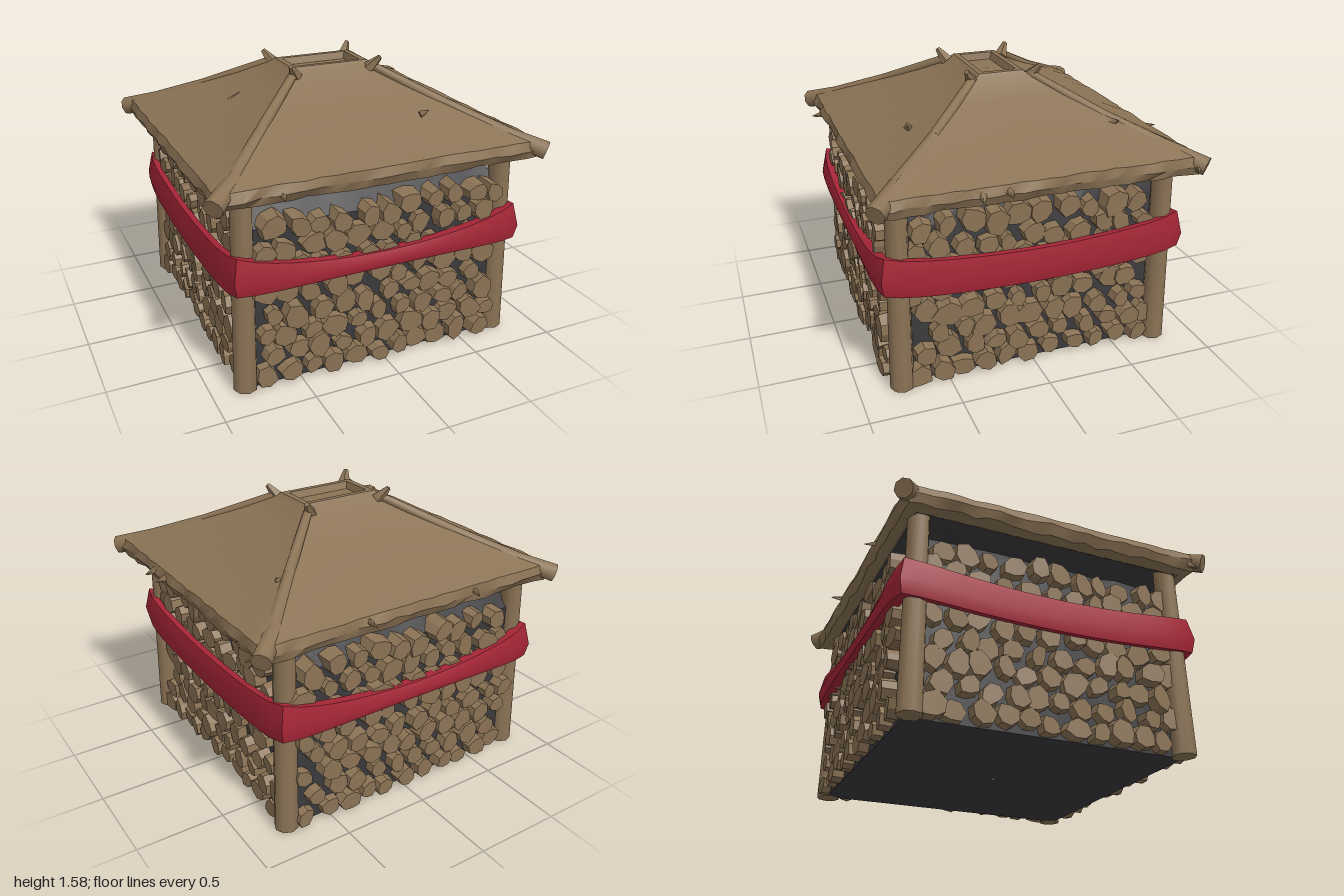
import * as THREE from 'three';
import { mergeGeometries, toCreasedNormals } from 'three/addons/utils/BufferGeometryUtils.js';

const CX = -0.03; // the building sits slightly to one side of its roof

export function createModel() {
  let seed = 7;
  const rnd = (a = 0, b = 1) => {
    seed = (seed * 16807) % 2147483647;
    return a + (b - a) * (seed / 2147483647);
  };
  const mat = (name, color) => {
    const m = new THREE.MeshStandardMaterial({ color });
    m.name = name;
    return m;
  };
  const wood = mat('weathered wood', 0x8b7355);
  const dark = mat('charcoal', 0x3a3a3d);
  const red = mat('ribbon red', 0xa52536);
  const model = new THREE.Group();
  model.name = 'woodStore';
  const add = (name, geo, material, parent = model) => {
    const m = new THREE.Mesh(geo, material);
    m.name = name;
    parent.add(m);
    return m;
  };

  // Rectangular ring of points, counterclockwise from above, each side bowed by a rule
  const ring = (cx, hx, hz, y, { n = 12, sag = 0, rough = 0, round = 0 } = {}) => {
    const pts = [];
    for (let s = 0; s < 4; s++) {
      for (let k = 0; k < n; k++) {
        const t = -1 + (2 * k) / n;
        const drop = (Array.isArray(sag) ? sag[s % 2] : sag) * (1 - t * t);
        const pull = 1 - round * t ** 8 + rnd(-rough, rough);
        const [x, z] = [[t * hx, hz], [hx, -t * hz], [-t * hx, -hz], [-hx, t * hz]][s];
        pts.push([cx + x * pull, y - drop + rnd(-rough, rough) * 0.6, z * pull]);
      }
    }
    return pts;
  };

  // Skin a stack of rings; rows run so that the outside faces outward
  const loft = (rings, crease = 0.5) => {
    const n = rings[0].length, pos = rings.flat(2), index = [];
    for (let i = 0; i < rings.length - 1; i++) {
      for (let j = 0; j < n; j++) {
        const a = i * n + j, b = i * n + ((j + 1) % n);
        index.push(a, b, b + n, a, b + n, a + n);
      }
    }
    const g = new THREE.BufferGeometry();
    g.setAttribute('position', new THREE.Float32BufferAttribute(pos, 3));
    g.setIndex(index);
    return toCreasedNormals(g, crease);
  };

  // Tapered pole between two points
  const pole = (a, b, ra, rb, sides = 8) => {
    const p = new THREE.Vector3(...a), q = new THREE.Vector3(...b);
    const d = q.clone().sub(p);
    const g = new THREE.CylinderGeometry(rb, ra, d.length(), sides);
    g.applyQuaternion(new THREE.Quaternion().setFromUnitVectors(
      new THREE.Vector3(0, 1, 0), d.clone().normalize()));
    return g.translate(...p.add(q).multiplyScalar(0.5).toArray());
  };

  // Dark core of the pile with a mounded top
  add('pileCore', loft([
    ring(CX, 0.01, 0.01, 0), ring(CX, 0.75, 0.78, 0),
    ring(CX, 0.75, 0.78, 0.92, { rough: 0.01 }), ring(CX, 0.69, 0.68, 1.04, { rough: 0.012 }),
    ring(CX, 0.45, 0.45, 1.09, { rough: 0.01 }), ring(CX, 0.01, 0.01, 1.1),
  ]), dark);

  // Irregular log ends stacked on all four walls
  const logEnd = (u, v, r, depth) => {
    const g = new THREE.CylinderGeometry(r * 0.86, r, depth, 7);
    const p = g.attributes.position;
    const ph = rnd(0, 6.28), sx = rnd(0.88, 1.18), sy = rnd(0.88, 1.15), tilt = rnd(-0.15, 0.15);
    for (let i = 0; i < p.count; i++) {
      const x = p.getX(i), z = p.getZ(i), a = Math.atan2(z, x);
      const k = 1 + 0.1 * Math.sin(2 * a + ph) + 0.08 * Math.cos(3 * a + ph * 2);
      p.setXYZ(i, x * k * sx, p.getY(i) + tilt * x, z * k * sy);
    }
    g.rotateX(Math.PI / 2).rotateZ(rnd(-0.5, 0.5)).translate(u, v, 0);
    for (let i = 0; i < p.count; i++) p.setY(i, Math.max(0.003, p.getY(i)));
    return toCreasedNormals(g, 0.3);
  };
  ['front', 'right', 'back', 'left'].forEach((side, s) => {
    const ends = [];
    for (let row = 0; row < 8; row++) {
      for (let col = 0; col < 11; col++) {
        const u = -0.68 + col * 0.132 + (row % 2 ? 0.06 : 0) + rnd(-0.022, 0.022);
        const v = 0.065 + row * 0.122 + rnd(-0.022, 0.022);
        if (Math.abs(u) < 0.7) ends.push(logEnd(u, v, rnd(0.058, 0.079), rnd(0.08, 0.14)));
      }
    }
    const wall = add(side + 'LogEnds', mergeGeometries(ends), wood);
    const angle = (s * Math.PI) / 2, dist = s % 2 ? 0.755 : 0.785;
    wall.rotation.y = angle;
    wall.position.set(CX + Math.sin(angle) * dist, 0, Math.cos(angle) * dist);
  });

  // Corner posts, leaning slightly inward
  for (const sx of [-1, 1]) {
    for (const sz of [-1, 1]) {
      add('cornerPost', toCreasedNormals(pole(
        [CX + sx * 0.78, 0, sz * 0.765], [CX + sx * 0.765, 1.14, sz * 0.755], 0.067, 0.06), 0.9), wood);
    }
  }

  // Ribbon tied round the posts, drooping between them
  const band = { round: 0.035, n: 16 };
  add('ribbon', loft([
    ring(CX, 0.82, 0.82, 0.605, { ...band, sag: [-0.01, 0.045] }),
    ring(CX, 0.865, 0.88, 0.6, { ...band, sag: [-0.01, 0.05] }),
    ring(CX, 0.88, 0.895, 0.68, { ...band, sag: [0.03, 0.06] }),
    ring(CX, 0.855, 0.87, 0.81, { ...band, sag: [0.11, 0.07] }),
    ring(CX, 0.82, 0.82, 0.8, { ...band, sag: [0.1, 0.06] }),
  ], 0.9), red);

  // Hipped roof shell: ragged eave, four gently dished slopes and a sunken cap
  const RX = -0.02, rag = { n: 24, rough: 0.012 };
  const eave = ring(RX, 0.93, 0.86, 1.08, rag);
  add('roof', loft([
    ring(RX, 0.84, 0.79, 1.085, { n: 24 }), eave,
    ring(RX, 0.955, 0.885, 1.13, rag), ring(RX, 0.94, 0.87, 1.18, { n: 24, rough: 0.006 }),
    ring(RX, 0.77, 0.7, 1.255, { n: 24, sag: 0.012 }),
    ring(RX, 0.58, 0.5, 1.345, { n: 24, sag: 0.018 }),
    ring(RX, 0.4, 0.31, 1.435, { n: 24, sag: 0.012 }),
    ring(RX, 0.25, 0.15, 1.52, { n: 24 }), ring(RX, 0.235, 0.13, 1.54, { n: 24 }),
    ring(RX, 0.2, 0.1, 1.54, { n: 24 }), ring(RX, 0.19, 0.085, 1.5, { n: 24 }),
    ring(RX, 0.005, 0.005, 1.5, { n: 24 }),
  ]), wood);
  add('roofUnderside', loft([
    ring(RX, 0.01, 0.01, 1.3), ring(RX, 0.6, 0.55, 1.22), ring(RX, 0.85, 0.8, 1.083),
  ]), dark);

  // Hip poles with thick blunt ends at the eaves and a short horn at the top
  for (const sx of [-1, 1]) {
    for (const sz of [-1, 1]) {
      const at = (x, y, z) => [RX + sx * x, y, sz * z];
      add('hipPole', toCreasedNormals(mergeGeometries([
        pole(at(0.96, 1.125, 0.9), at(0.8, 1.195, 0.75), 0.055, 0.045),
        pole(at(0.82, 1.185, 0.77), at(0.55, 1.335, 0.48), 0.045, 0.032),
        pole(at(0.56, 1.33, 0.49), at(0.25, 1.51, 0.18), 0.032, 0.026),
        pole(at(0.23, 1.5, 0.17), at(0.275, 1.57, 0.215), 0.04, 0.014, 5),
      ]), 0.8), wood);
    }
  }

  // Loose splinters along the eaves and on the slopes
  const splinters = [
    [[0.91, 1.15, -0.86], [0.985, 1.11, -0.83]], [[0.92, 1.14, 0.22], [0.98, 1.13, 0.22]],
    [[0.92, 1.14, 0.36], [0.98, 1.12, 0.37]], [[0.3, 1.15, -0.85], [0.31, 1.15, -0.945]],
    [[-0.4, 1.15, -0.85], [-0.38, 1.14, -0.93]], [[-0.62, 1.13, 0.86], [-0.63, 1.12, 0.94]],
    [[-0.95, 1.12, 0.82], [-0.99, 1.08, 0.85]], [[0.6, 1.31, -0.5], [0.64, 1.33, -0.52]],
    [[0.32, 1.32, 0.57], [0.37, 1.34, 0.58]], [[-0.56, 1.33, -0.06], [-0.5, 1.38, -0.06]],
  ];
  for (const [a, b] of splinters) add('splinter', pole(a, b, 0.025, 0.003, 4).toNonIndexed(), wood);

  return model;
}
